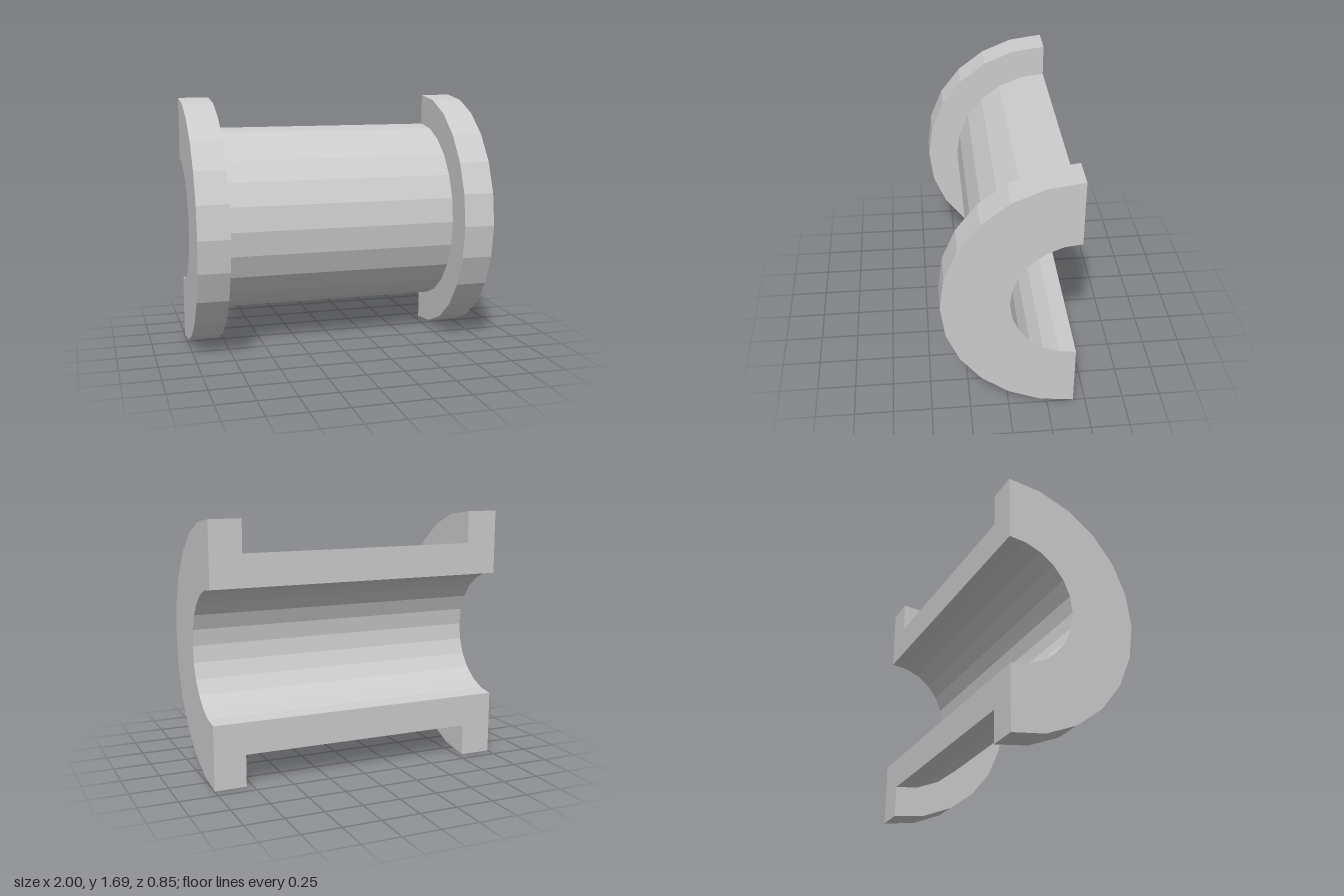
import * as THREE from 'three';

// Half of a flanged bushing, split lengthwise along its axis (x)
const BORE = 0.4225, BARREL = 0.634, FLANGE = 0.845;
const HALF = 1, SHOULDER = 0.79;

export function createModel() {
  const group = new THREE.Group();
  group.name = 'halfBushing';
  const material = new THREE.MeshStandardMaterial({ color: 0xcccccc, flatShading: true });

  // Wall section as (radius, position along the axis), counter-clockwise
  const section = [
    [BORE, -HALF], [FLANGE, -HALF], [FLANGE, -SHOULDER], [BARREL, -SHOULDER],
    [BARREL, SHOULDER], [FLANGE, SHOULDER], [FLANGE, HALF], [BORE, HALF],
  ].map(([r, a]) => new THREE.Vector2(r, a));

  const add = (name, geometry) => {
    const mesh = new THREE.Mesh(geometry, material);
    mesh.name = name;
    mesh.position.set(0, FLANGE, -FLANGE / 2);
    group.add(mesh);
  };

  // Barrel, both flanges and bore, swept through half a turn
  const shell = new THREE.LatheGeometry([...section, section[0]], 12, -Math.PI / 2, Math.PI);
  add('flangedShell', shell.rotateZ(-Math.PI / 2));

  // Flat cut faces above and below the bore, facing the back
  const cut = new THREE.Shape(section.map((p) => new THREE.Vector2(p.y, p.x)));
  add('upperCutFace', new THREE.ShapeGeometry(cut).rotateY(Math.PI));
  add('lowerCutFace', new THREE.ShapeGeometry(cut).rotateX(Math.PI));

  return group;
}
